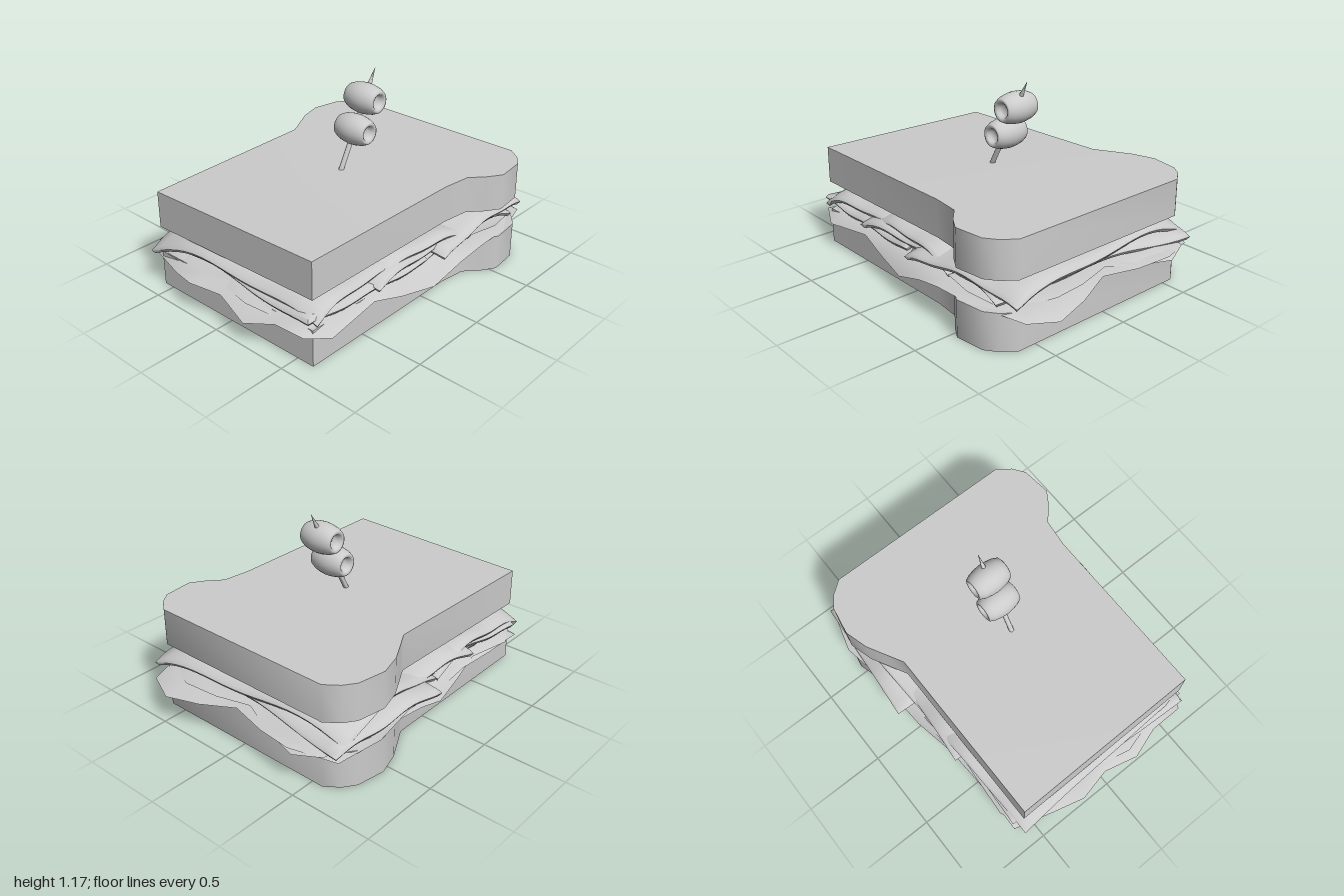
import * as THREE from 'three';
import { toCreasedNormals } from 'three/addons/utils/BufferGeometryUtils.js';

const material = new THREE.MeshStandardMaterial({ color: 0xcccccc, side: THREE.DoubleSide });

function part(name, geometry) {
  const mesh = new THREE.Mesh(geometry, material);
  mesh.name = name;
  return mesh;
}

// Bread outline as x, z
const breadOutline = [
  [-0.57, 0.89], [0.61, 0.88], [0.61, -0.2], [0.63, -0.37], [0.71, -0.46], [0.76, -0.54], [0.74, -0.72],
  [0.69, -0.79], [0.61, -0.85], [-0.57, -0.85], [-0.65, -0.79], [-0.7, -0.72], [-0.73, -0.55],
  [-0.69, -0.41], [-0.63, -0.3], [-0.575, -0.2],
];

function breadSlice(name, y, height, cornerDip) {
  const shape = new THREE.Shape(breadOutline.map(([x, z]) => new THREE.Vector2(x, -z)));
  const geometry = new THREE.ExtrudeGeometry(shape, { depth: height, bevelEnabled: false });
  geometry.rotateX(-Math.PI / 2);
  geometry.translate(0, y, 0);
  // one front corner sags a little
  const p = geometry.attributes.position;
  for (let i = 0; i < p.count; i++) {
    if (p.getX(i) < -0.5 && p.getZ(i) > 0.8) p.setY(i, p.getY(i) - cornerDip);
  }
  return part(name, toCreasedNormals(geometry, 0.7));
}

// Drooping lettuce rim as x, y, z
const lettuceRim = [
  [-0.63, 0.18, 0.88], [-0.38, 0.18, 0.95], [-0.2, 0.21, 1], [0, 0.2, 0.955], [0.22, 0.145, 1],
  [0.4, 0.19, 0.94], [0.6, 0.2, 0.94], [0.67, 0.16, 0.8], [0.65, 0.2, 0.45], [0.68, 0.15, 0.25],
  [0.72, 0.12, 0.02], [0.74, 0.19, -0.2], [0.75, 0.22, -0.37], [0.74, 0.22, -0.62], [0.64, 0.2, -0.93],
  [0.47, 0.18, -1], [0.25, 0.2, -0.95], [0.03, 0.23, -0.87], [-0.2, 0.22, -0.92], [-0.42, 0.23, -0.95],
  [-0.68, 0.2, -0.85], [-0.75, 0.24, -0.6], [-0.7, 0.25, -0.3], [-0.65, 0.18, 0], [-0.64, 0.21, 0.3],
  [-0.62, 0.17, 0.6],
];

function lettuce(name) {
  const positions = [], index = [], n = lettuceRim.length;
  const rings = [0, 0.6, 0.9, 1];
  for (const f of rings) {
    for (const [x, y, z] of lettuceRim) positions.push(x * f, f === 1 ? y : 0.24, z * f);
  }
  for (let r = 0; r < rings.length - 1; r++) {
    for (let i = 0; i < n; i++) {
      const a = r * n + i, b = r * n + (i + 1) % n;
      if (r > 0) index.push(a, a + n, b);
      index.push(b, a + n, b + n);
    }
  }
  const geometry = new THREE.BufferGeometry();
  geometry.setAttribute('position', new THREE.Float32BufferAttribute(positions, 3));
  geometry.setIndex(index);
  geometry.computeVertexNormals();
  return part(name, geometry);
}

// Soft slice: rippled, rounded at its rim and sagging towards the corners
function fillingSlice(name, [cx, cz, width, depth, turn, y, phase, sag]) {
  const geometry = new THREE.BoxGeometry(width, 0.04, depth, 18, 2, 18);
  const p = geometry.attributes.position;
  for (let i = 0; i < p.count; i++) {
    const u = p.getX(i) / (width / 2), v = p.getZ(i) / (depth / 2), h = p.getY(i);
    const bulge = Math.abs(h) < 0.001 ? 0.014 : 0;
    const ripple = 0.018 * Math.sin(4.5 * u + 2 * v + phase) + 0.01 * Math.cos(6 * v + phase);
    const droop = sag * (0.4 * (u ** 4 + v ** 4) + 0.6 * u * u * v * v);
    p.setXYZ(i,
      p.getX(i) + (Math.abs(u) > 0.999 ? Math.sign(u) * bulge : 0),
      h + ripple - droop,
      p.getZ(i) + (Math.abs(v) > 0.999 ? Math.sign(v) * bulge : 0));
  }
  geometry.deleteAttribute('uv');
  const mesh = part(name, toCreasedNormals(geometry, 1.2));
  mesh.position.set(cx, y, cz);
  mesh.rotation.y = turn;
  return mesh;
}

// Olive lying along x with a dimple at each end
function olive(name, y, z) {
  const half = [[0.001, 0.07], [0.025, 0.073], [0.036, 0.085], [0.044, 0.103], [0.055, 0.11],
    [0.066, 0.105], [0.08, 0.075], [0.088, 0.035]];
  const profile = [
    ...half.map(([r, h]) => new THREE.Vector2(r, -h)),
    new THREE.Vector2(0.091, 0),
    ...half.slice().reverse().map(([r, h]) => new THREE.Vector2(r, h)),
  ];
  const mesh = part(name, new THREE.LatheGeometry(profile, 28));
  mesh.rotation.z = Math.PI / 2;
  mesh.position.set(0.027, y, z);
  return mesh;
}

// Leaning pick with a pointed tip
function pick() {
  const foot = new THREE.Vector3(0.027, 0.56, 0.06), tip = new THREE.Vector3(0.027, 1.165, -0.26);
  const along = tip.clone().sub(foot), length = along.length();
  const profile = [[0.001, 0], [0.015, 0], [0.015, length - 0.13], [0.012, length - 0.09], [0.001, length]]
    .map(([r, h]) => new THREE.Vector2(r, h));
  const mesh = part('pick', toCreasedNormals(new THREE.LatheGeometry(profile, 12), 0.8));
  mesh.position.copy(foot);
  mesh.quaternion.setFromUnitVectors(new THREE.Vector3(0, 1, 0), along.normalize());
  return mesh;
}

export function createModel() {
  const group = new THREE.Group();
  group.name = 'sandwich';
  group.add(breadSlice('bottomBread', 0, 0.22, 0));
  group.add(breadSlice('topBread', 0.4, 0.222, 0.025));

  const lowerLeaf = lettuce('lowerLettuce');
  const upperLeaf = lettuce('upperLettuce');
  upperLeaf.scale.set(-0.95, 1, 0.95);
  upperLeaf.position.y = 0.02;
  group.add(lowerLeaf, upperLeaf);

  // x, z, width, depth, turn, height, ripple phase, sag
  const slices = {
    lowerFrontSlice: [0.02, 0.44, 1.22, 0.88, -0.05, 0.29, 0.5, 0.02],
    lowerMiddleSlice: [0.02, 0.02, 1.24, 0.9, 0.06, 0.31, 2.2, 0.03],
    lowerBackSlice: [-0.03, -0.42, 1.36, 0.78, -0.08, 0.3, 4, 0.03],
    upperFrontSlice: [0, 0.46, 1.22, 0.88, 0.05, 0.37, 1.6, 0.09],
    upperMiddleSlice: [0.01, 0, 1.26, 0.8, -0.07, 0.35, 3.4, 0.05],
    upperBackSlice: [0.02, -0.43, 1.34, 0.82, 0.07, 0.37, 0, 0.08],
  };
  for (const [name, values] of Object.entries(slices)) group.add(fillingSlice(name, values));

  group.add(pick(), olive('lowerOlive', 0.836, -0.09), olive('upperOlive', 1.003, -0.173));
  return group;
}
